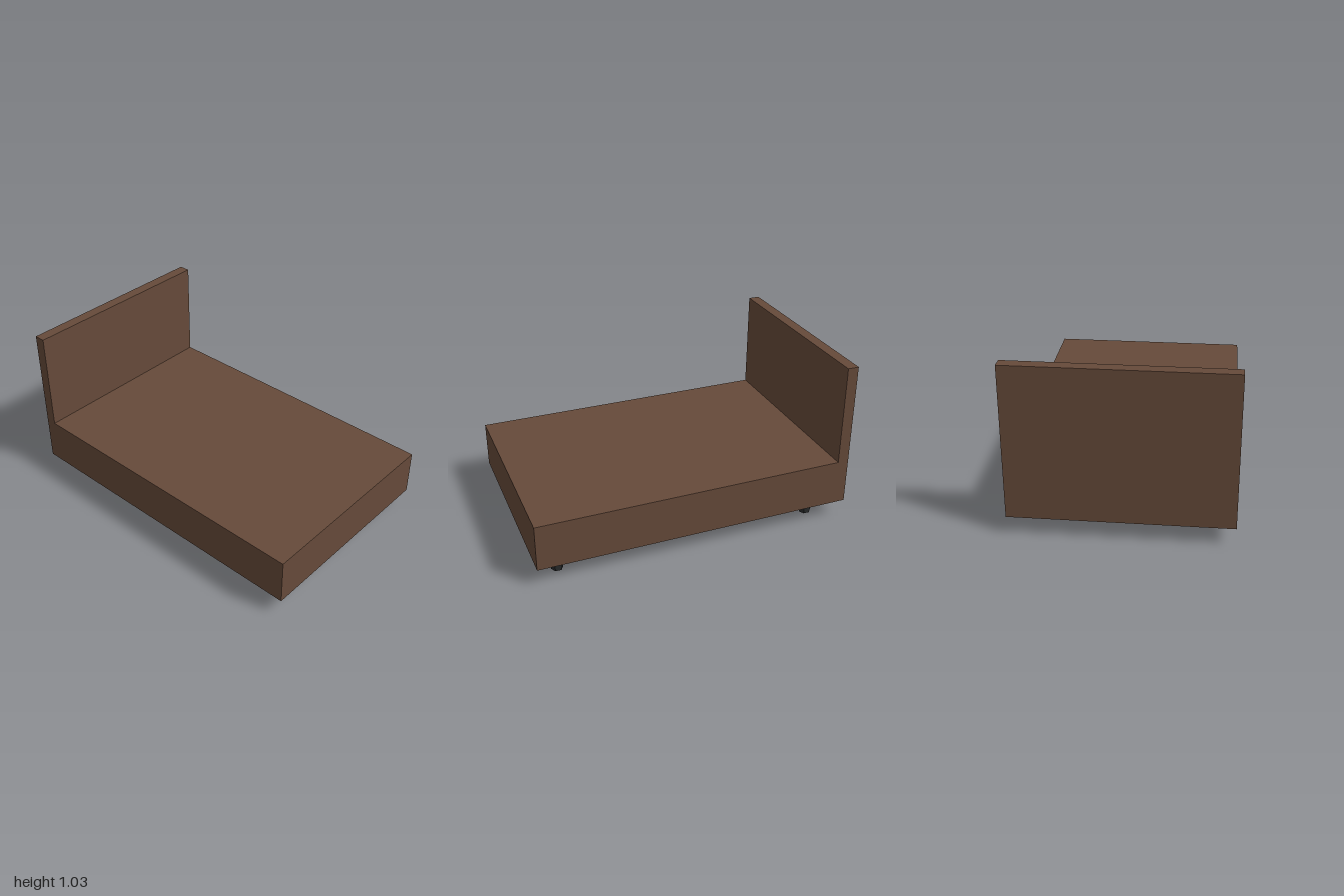
import * as THREE from 'three';

const WIDTH = 1.29, BOTTOM = 0.11, DECK = 0.4, TOP = 1.035;
const FRONT = 1, BACK = -1, HEADBOARD_FRONT = -0.93;

export function createModel() {
  const bed = new THREE.Group();
  bed.name = 'bed';

  const brown = new THREE.MeshStandardMaterial({ color: 0x664a3a });
  brown.name = 'brown upholstery';
  const black = new THREE.MeshStandardMaterial({ color: 0x2b2d2e, flatShading: true });
  black.name = 'black legs';

  // Base and headboard: one L-shaped side profile extruded across the width
  const profile = new THREE.Shape([
    [BACK, BOTTOM], [FRONT, BOTTOM], [FRONT, DECK],
    [HEADBOARD_FRONT, DECK], [HEADBOARD_FRONT, TOP], [BACK, TOP],
  ].map(([z, y]) => new THREE.Vector2(z, y)));
  const frameGeometry = new THREE.ExtrudeGeometry(profile, { depth: WIDTH, bevelEnabled: false });
  frameGeometry.translate(0, 0, -WIDTH / 2).rotateY(-Math.PI / 2);
  const frame = new THREE.Mesh(frameGeometry, brown);
  frame.name = 'baseAndHeadboard';
  bed.add(frame);

  // Tapered six-sided legs
  const legGeometry = new THREE.CylinderGeometry(0.056, 0.036, BOTTOM, 6);
  for (const [end, z] of [['front', 0.853], ['back', -0.796]]) {
    for (const [side, x] of [['Left', 0.515], ['Right', -0.515]]) {
      const leg = new THREE.Mesh(legGeometry, black);
      leg.name = `${end}${side}Leg`;
      leg.position.set(x, BOTTOM / 2, z);
      bed.add(leg);
    }
  }
  return bed;
}
